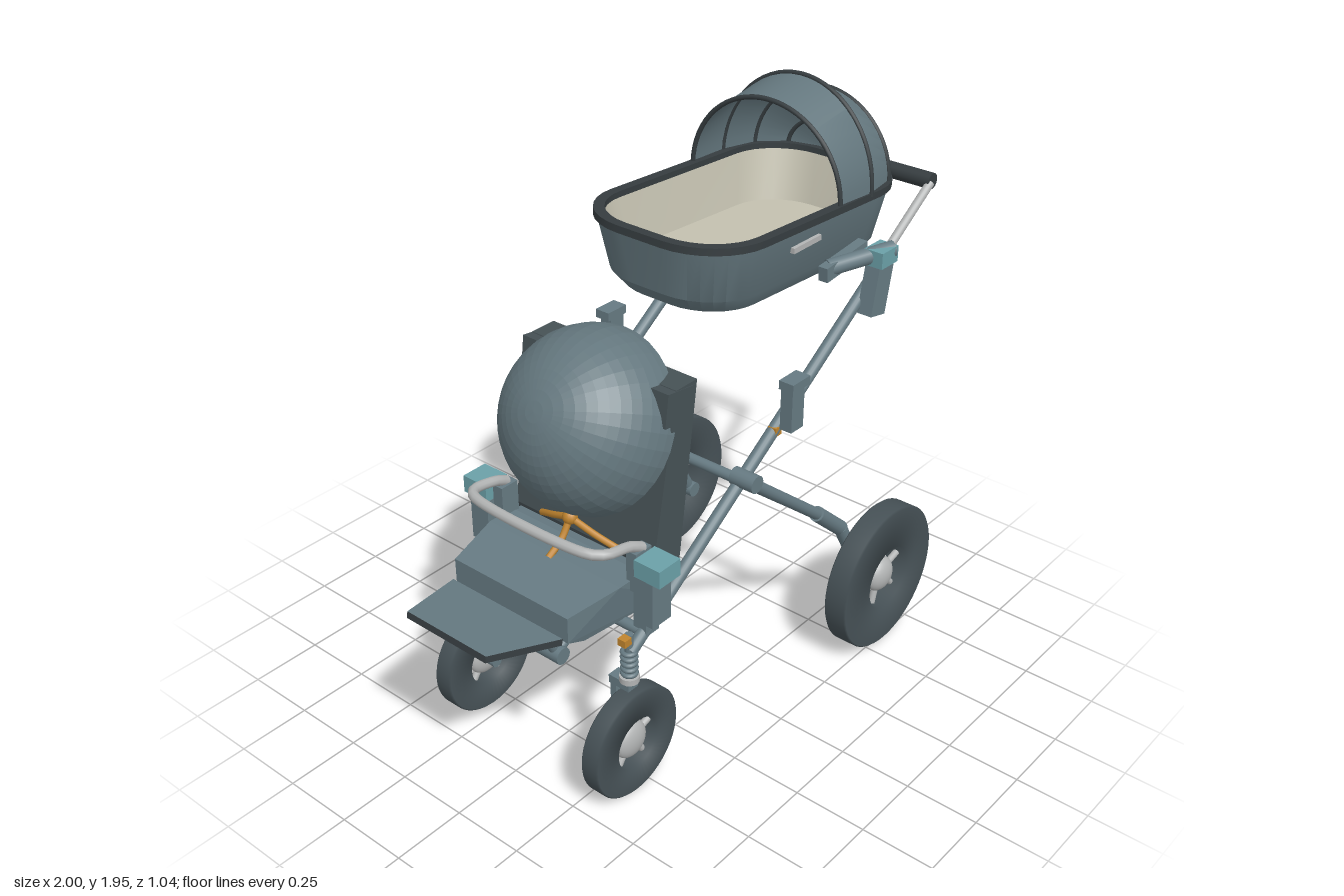
import * as THREE from 'three';
import { toCreasedNormals } from 'three/addons/utils/BufferGeometryUtils.js';

const mat = (name, color, side = THREE.FrontSide) => {
  const m = new THREE.MeshStandardMaterial({ color, side });
  m.name = name;
  return m;
};
const V = (x, y, z) => new THREE.Vector3(x, y, z);

export function createModel() {
  const root = new THREE.Group();
  root.name = 'stroller';
  const frame = mat('slateFrame', 0x667a82);
  const fabric = mat('slateFabric', 0x64777e, THREE.DoubleSide);
  const dark = mat('darkFabric', 0x465155);
  const rubber = mat('rubber', 0x465156);
  const grip = mat('gripBlack', 0x363d40);
  const metal = mat('lightMetal', 0xb2b4b4);
  const cream = mat('creamLining', 0xc4c1b0, THREE.DoubleSide);
  const teal = mat('tealButton', 0x6ba0a8);
  const orange = mat('orangeStrap', 0xc0842e);

  const add = (name, geo, m, parent = root) => {
    const mesh = new THREE.Mesh(geo, m);
    mesh.name = name;
    parent.add(mesh);
    return mesh;
  };
  // Straight round bar between two points
  const bar = (name, a, b, r, m, parent = root, r2 = r) => {
    const d = b.clone().sub(a);
    const mesh = add(name, new THREE.CylinderGeometry(r2, r, d.length(), 16), m, parent);
    mesh.position.copy(a).add(b).multiplyScalar(0.5);
    mesh.quaternion.setFromUnitVectors(V(0, 1, 0), d.normalize());
    return mesh;
  };
  const box = (name, size, pos, m, rz = 0, parent = root) => {
    const mesh = add(name, new THREE.BoxGeometry(...size), m, parent);
    mesh.position.set(...pos);
    mesh.rotation.z = rz;
    return mesh;
  };
  const bend = (name, pts, r, m, parent = root) =>
    add(name, new THREE.TubeGeometry(new THREE.CatmullRomCurve3(pts, false, 'centripetal'), 32, r, 10), m, parent);
  // Side profile extruded symmetrically across z
  const slab = (pts, halfZ) => new THREE.ExtrudeGeometry(
    new THREE.Shape(pts.map(p => new THREE.Vector2(...p))), { depth: 2 * halfZ, bevelEnabled: false }).translate(0, 0, -halfZ);
  // Skin over equal-length rows of points
  const loft = (rows, closed) => {
    const n = rows[0].length, idx = [];
    for (let i = 0; i < rows.length - 1; i++)
      for (let j = 0; j < (closed ? n : n - 1); j++) {
        const k = (j + 1) % n, a = i * n, b = a + n;
        idx.push(a + j, b + j, a + k, b + j, b + k, a + k);
      }
    const g = new THREE.BufferGeometry().setFromPoints(rows.flat());
    g.setIndex(idx);
    return toCreasedNormals(g, 0.5);
  };

  // Wheels with hub and spokes
  const wheel = (name, x, R, z, width, hole, spokes) => {
    const g = new THREE.Group(), h = width / 2;
    g.name = name;
    g.position.set(x, R, z);
    const profile = [[hole, -h], [R - 0.006, -h], [R, -h + 0.006], [R, h - 0.006], [R - 0.006, h], [hole, h], [hole, -h]];
    add('tyre', new THREE.LatheGeometry(profile.map(p => new THREE.Vector2(...p)), 56), rubber, g).rotation.x = Math.PI / 2;
    add('hub', new THREE.SphereGeometry(0.065, 24, 16), metal, g).scale.z = h / 0.065;
    for (let i = 0; i < spokes; i++) {
      const a = (i + 0.25) / spokes * Math.PI * 2;
      bar('spoke', V(0, 0, 0), V(Math.cos(a) * (hole + 0.01), Math.sin(a) * (hole + 0.01), 0), 0.012, metal, g);
    }
    root.add(g);
  };

  for (const s of [-1, 1]) {
    const P = (x, y, z) => V(x, y, z * s);
    wheel('rearWheel', 0.585, 0.265, 0.475 * s, 0.086, 0.115, 6);
    wheel('frontWheel', -0.56, 0.19, 0.323 * s, 0.068, 0.09, 5);

    // Main side tube and sliding handle tube
    bar('mainTube', P(-0.56, 0.535, 0.33), P(0.66, 1.355, 0.33), 0.021, frame);
    bar('handleTube', P(0.64, 1.345, 0.325), P(0.965, 1.567, 0.325), 0.015, metal);

    // Rear leg, suspension and axle
    bar('legPivot', P(-0.04, 0.905, 0.31), P(-0.04, 0.905, 0.4), 0.03, frame);
    bar('rearLeg', P(-0.04, 0.9, 0.375), P(0.36, 0.575, 0.375), 0.02, frame);
    bar('rearLegSleeve', P(0.33, 0.6, 0.375), P(0.48, 0.465, 0.375), 0.027, frame);
    bar('rearLink', P(0.47, 0.475, 0.38), P(0.57, 0.29, 0.385), 0.024, frame);
    bar('rearShock', P(0.5, 0.42, 0.41), P(0.56, 0.33, 0.41), 0.02, grip);
    bar('rearAxle', P(0.585, 0.265, 0.355), P(0.585, 0.265, 0.45), 0.028, frame);

    // Front fork with spring
    bar('forkStem', P(-0.56, 0.42, 0.325), P(-0.56, 0.6, 0.325), 0.014, frame);
    for (let i = 0; i < 5; i++) {
      const coil = add('spring', new THREE.TorusGeometry(0.021, 0.008, 8, 20), frame);
      coil.rotation.x = Math.PI / 2;
      coil.position.set(-0.56, 0.455 + i * 0.02, 0.325 * s);
    }
    bar('forkCollar', P(-0.56, 0.425, 0.325), P(-0.56, 0.445, 0.325), 0.032, metal);
    box('forkCrown', [0.045, 0.03, 0.08], [-0.56, 0.412, 0.3 * s], frame);
    box('forkBlade', [0.035, 0.23, 0.022], [-0.56, 0.3, 0.273 * s], frame);
    bar('frontAxle', P(-0.56, 0.19, 0.262), P(-0.56, 0.19, 0.31), 0.02, frame);
    box('forkClip', [0.03, 0.025, 0.03], [-0.585, 0.59, 0.33 * s], orange);

    // Seat mount
    box('seatMount', [0.085, 0.16, 0.075], [-0.475, 0.7, 0.345 * s], frame);
    box('seatMountFoot', [0.06, 0.1, 0.05], [-0.48, 0.62, 0.325 * s], frame);
    box('seatMountButton', [0.095, 0.06, 0.1], [-0.47, 0.81, 0.36 * s], teal);
    box('armrestBlock', [0.07, 0.14, 0.04], [-0.46, 0.77, 0.28 * s], frame);
    // Spare mount
    box('middleMount', [0.062, 0.16, 0.045], [0.162, 1.09, 0.375 * s], frame);
    box('middleMountCap', [0.088, 0.03, 0.055], [0.162, 1.175, 0.38 * s], frame);
    box('middleMountClip', [0.03, 0.03, 0.03], [0.13, 1.0, 0.335 * s], orange);
    // Bassinet mount
    box('bassinetMount', [0.08, 0.2, 0.055], [0.605, 1.345, 0.37 * s], frame, -0.2);
    box('bassinetMountButton', [0.09, 0.055, 0.07], [0.615, 1.445, 0.375 * s], teal);
    bar('bassinetArm', P(0.45, 1.43, 0.285), P(0.66, 1.455, 0.39), 0.028, frame);
    box('bassinetArmPad', [0.22, 0.05, 0.035], [0.52, 1.435, 0.295 * s], frame, 0.1);
    box('bassinetMountClip', [0.04, 0.03, 0.035], [0.57, 1.27, 0.325 * s], orange, 0.6);
  }
  bar('rearCrossbar', V(0.37, 0.568, -0.37), V(0.37, 0.568, 0.37), 0.02, frame);
  bar('frontCrossbar', V(-0.5, 0.575, -0.33), V(-0.5, 0.575, 0.33), 0.018, frame);
  bar('handleGrip', V(0.972, 1.572, -0.33), V(0.972, 1.572, 0.33), 0.028, grip);

  // Seat base, narrower toward the footrest
  const base = slab([[-0.73, 0.62], [-0.66, 0.59], [-0.32, 0.59], [-0.28, 0.64], [-0.31, 0.7],
    [-0.44, 0.735], [-0.54, 0.735], [-0.73, 0.71]], 0.275);
  const p = base.attributes.position;
  for (let i = 0; i < p.count; i++) if (p.getX(i) < -0.65) p.setZ(i, p.getZ(i) * 0.86);
  base.computeVertexNormals();
  add('seatBase', base, frame);
  bar('seatRearBar', V(-0.3, 0.62, -0.29), V(-0.3, 0.62, 0.29), 0.024, grip);

  // Backrest with side wings
  add('backrest', slab([[-0.405, 0.74], [-0.37, 0.63], [-0.295, 0.63], [-0.278, 0.74], [-0.205, 1.31], [-0.3, 1.31]], 0.29), dark);
  for (const s of [-1, 1]) box('backrestWing', [0.12, 0.11, 0.07], [-0.285, 1.25, 0.257 * s], dark, -0.13);

  // Footrest on its hinge
  const foot = new THREE.ExtrudeGeometry(new THREE.Shape([[-0.125, -0.165], [0.125, -0.232], [0.125, 0.232], [-0.125, 0.165]]
    .map(q => new THREE.Vector2(...q))), { depth: 0.022, bevelEnabled: false }).rotateX(-Math.PI / 2);
  const footrest = add('footrest', foot, [frame, grip]);
  footrest.position.set(-0.874, 0.649, 0);
  footrest.rotation.z = -0.2;
  bar('footrestHinge', V(-0.735, 0.568, -0.22), V(-0.735, 0.568, 0.22), 0.028, frame);
  for (const s of [-1, 1]) {
    bar('footrestLink', V(-0.77, 0.64, 0.19 * s), V(-0.735, 0.568, 0.19 * s), 0.015, frame);
    bar('hingeLink', V(-0.735, 0.568, 0.19 * s), V(-0.65, 0.62, 0.19 * s), 0.018, frame);
  }

  // Bumper bar
  bend('bumperBar', [V(-0.45, 0.84, -0.285), V(-0.5, 0.865, -0.28), V(-0.6, 0.885, -0.272), V(-0.635, 0.89, -0.23),
    V(-0.635, 0.89, 0.23), V(-0.6, 0.885, 0.272), V(-0.5, 0.865, 0.28), V(-0.45, 0.84, 0.285)], 0.017, metal);

  // Harness
  for (const s of [-1, 1]) {
    bend('shoulderStrap', [V(-0.37, 1.08, 0.09 * s), V(-0.42, 0.93, 0.05 * s), V(-0.46, 0.83, 0)], 0.011, orange);
    bend('lapStrap', [V(-0.46, 0.83, 0), V(-0.44, 0.79, 0.09 * s), V(-0.41, 0.75, 0.17 * s)], 0.011, orange);
  }
  bend('crotchStrap', [V(-0.46, 0.83, 0), V(-0.5, 0.77, 0), V(-0.56, 0.73, 0)], 0.011, orange);
  add('buckle', new THREE.SphereGeometry(0.025, 12, 8), orange).position.set(-0.46, 0.83, 0);

  // Seat canopy
  const dome = new THREE.SphereGeometry(0.297, 36, 14, 0, Math.PI * 2, 0, Math.PI / 2).toNonIndexed();
  dome.computeVertexNormals();
  const canopy = add('seatCanopy', dome, fabric);
  canopy.position.set(-0.335, 1.12, 0);
  canopy.rotation.z = 1.07;

  // Bassinet, tilted slightly down toward the handle
  const cot = new THREE.Group();
  cot.name = 'bassinet';
  cot.position.set(0.395, 1.628, 0);
  cot.rotation.z = -0.053;
  root.add(cot);
  const ring = (x0, x1, w, r, y) => {
    const pts = [], c = [[x1 - r, w - r], [x0 + r, w - r], [x0 + r, r - w], [x1 - r, r - w]];
    c.forEach(([cx, cz], q) => {
      for (let i = 0; i <= 8; i++) {
        const a = (q + i / 8) * Math.PI / 2;
        pts.push(V(cx + r * Math.cos(a), y, cz + r * Math.sin(a)));
      }
    });
    return pts;
  };
  const dot = y => ring(-0.01, 0.01, 0.01, 0.005, y);
  add('bassinetShell', loft([dot(-0.235), ring(-0.43, 0.455, 0.235, 0.18, -0.235), ring(-0.475, 0.485, 0.265, 0.2, -0.185),
    ring(-0.515, 0.515, 0.295, 0.21, -0.01)], true), fabric, cot);
  add('bassinetRim', loft([ring(-0.515, 0.515, 0.295, 0.21, -0.018), ring(-0.525, 0.525, 0.305, 0.22, -0.014),
    ring(-0.525, 0.525, 0.305, 0.22, 0.01), ring(-0.49, 0.49, 0.272, 0.19, 0.01), ring(-0.49, 0.49, 0.272, 0.19, -0.018)], true), grip, cot);
  add('bassinetLining', loft([ring(-0.49, 0.49, 0.272, 0.19, -0.01), ring(-0.44, 0.455, 0.24, 0.18, -0.18), dot(-0.18)], true), cream, cot);
  for (const s of [-1, 1]) box('sidePull', [0.14, 0.018, 0.02], [-0.075, -0.07, 0.289 * s], metal, 0.053, cot);

  // Bassinet hood: arched panels with ribs
  const arch = ([x, w, h, lean], k = 1) => Array.from({ length: 25 }, (_, i) => {
    const a = i / 24 * Math.PI;
    return V(x + lean * Math.sin(a), k * h * Math.sin(a), k * w * Math.cos(a));
  });
  const sections = [[0.09, 0.295, 0.285, -0.01], [0.255, 0.3, 0.33, 0], [0.395, 0.272, 0.262, 0], [0.485, 0.195, 0.13, 0], [0.515, 0.1, 0.035, 0], [0.518, 0.005, 0.004, 0]];
  add('hood', loft(sections.map(s => arch(s)), false), fabric, cot);
  sections.slice(0, 4).forEach(s => bend('hoodRib', arch(s, 1.004), 0.008, grip, cot));

  return root;
}
